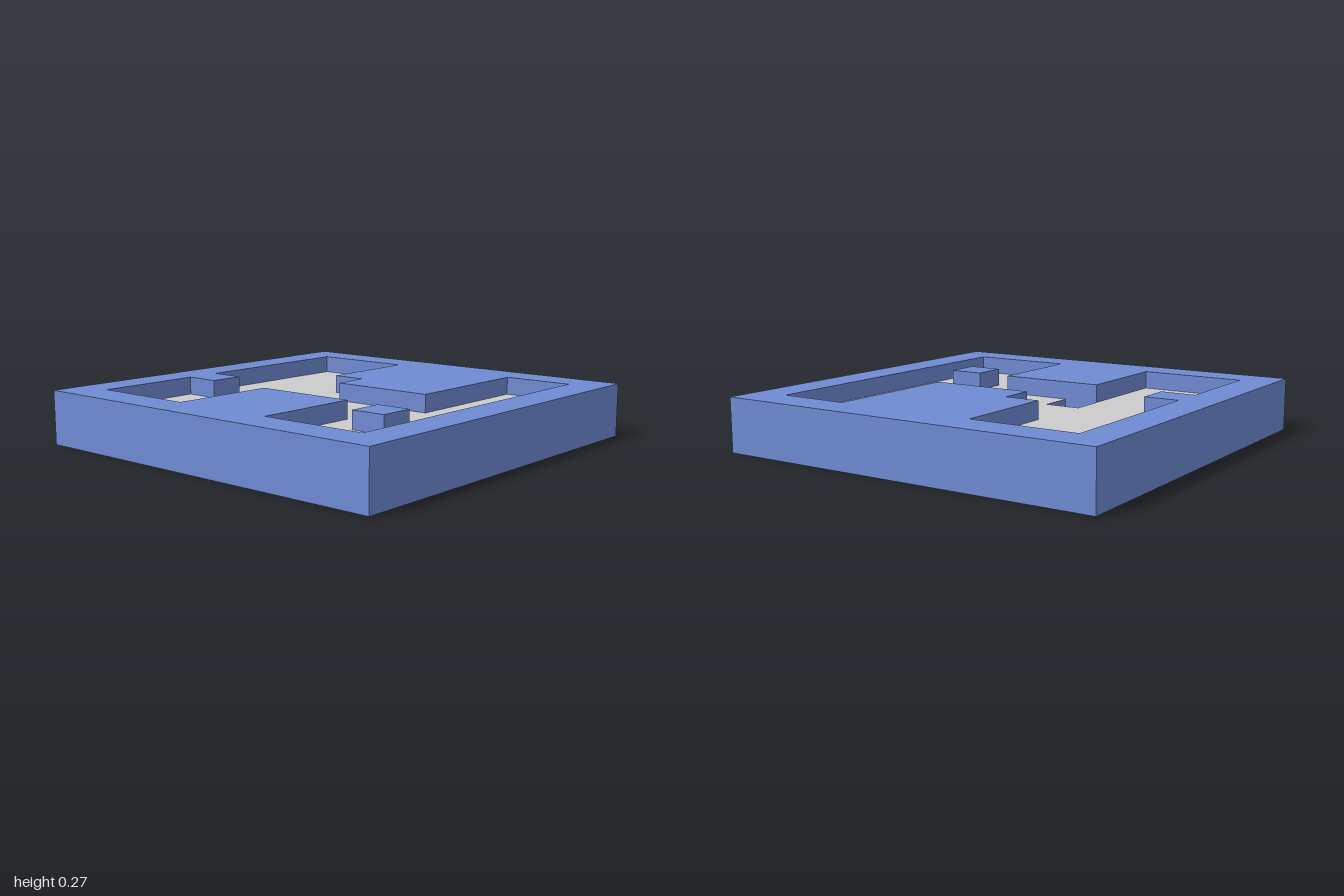
import * as THREE from 'three';
import { mergeGeometries } from 'three/addons/utils/BufferGeometryUtils.js';

// The plan is an 11 x 11 cell grid; every height is a multiple of half a cell
const CELL = 2 / 11;
const PIT = CELL * 0.5, FLOOR = CELL, TOP = CELL * 1.5;

// Grid coordinates [column, row] to world [x, z]
const world = ([c, r]) => [c * CELL - 1, r * CELL - 1];
const rect = (c0, r0, c1, r1) => [[c0, r0], [c1, r0], [c1, r1], [c0, r1]];

// Horizontal face with optional holes
function flat(outline, y, holes = [], down = false) {
  const toPoints = (cells) => cells.map((p) => {
    const [x, z] = world(p);
    return new THREE.Vector2(x, down ? z : -z);
  });
  const shape = new THREE.Shape(toPoints(outline));
  shape.holes = holes.map((h) => new THREE.Path(toPoints(h)));
  const g = new THREE.ShapeGeometry(shape).toNonIndexed();
  return g.rotateX(down ? Math.PI / 2 : -Math.PI / 2).translate(0, y, 0);
}

// Closed vertical ribbon, facing away from the outline or into it
function walls(outline, y0, y1, inward = false) {
  const pts = (inward ? [...outline].reverse() : outline).map(world);
  const pos = [], uv = [];
  pts.forEach(([ax, az], i) => {
    const [bx, bz] = pts[(i + 1) % pts.length];
    pos.push(ax, y0, az, ax, y1, az, bx, y1, bz);
    pos.push(ax, y0, az, bx, y1, bz, bx, y0, bz);
    uv.push(0, 0, 0, 1, 1, 1, 0, 0, 1, 1, 1, 0);
  });
  const g = new THREE.BufferGeometry();
  g.setAttribute('position', new THREE.Float32BufferAttribute(pos, 3));
  g.setAttribute('uv', new THREE.Float32BufferAttribute(uv, 2));
  g.computeVertexNormals();
  return g;
}

export function createModel() {
  const group = new THREE.Group();
  const blue = new THREE.MeshStandardMaterial({ color: 0x6f8bd3 });
  const grey = new THREE.MeshStandardMaterial({ color: 0xcccccc });
  const add = (name, material, ...geometries) => {
    const mesh = new THREE.Mesh(mergeGeometries(geometries), material);
    mesh.name = name;
    group.add(mesh);
  };

  const plate = rect(0, 0, 11, 11);
  const island = rect(8, 7, 9, 8);
  const pit = rect(4, 6, 5, 7);
  const start = [[1, 1], [4, 1], [4, 4], [5, 4], [5, 5], [8, 5], [8, 1], [10, 1], [10, 10], [7, 10], [7, 7]];
  const end = [[4, 10], [1, 10], [1, 7], [2, 7], [2, 6], [1, 6]];
  const recess = [...start, [4, 7], ...end];
  // The floor follows the recess but leaves out the pit
  const floorOutline = [...start, [5, 7], [5, 6], [4, 6], ...end];

  // Solid plate: raised top, outer sides and underside
  add('plate', blue,
    flat(plate, TOP, [recess]),
    walls(plate, 0, TOP),
    flat(plate, 0, [], true));

  // Sides of the sunken area
  add('recessWalls', blue, walls(recess, FLOOR, TOP, true));

  // Sunken floor
  add('recessFloor', grey, flat(floorOutline, FLOOR, [island]));

  // Free-standing block on the floor
  add('islandBlock', blue, flat(island, TOP), walls(island, FLOOR, TOP));

  // One-cell pit below the floor
  add('pit', blue, flat(pit, PIT), walls(pit, PIT, FLOOR, true));

  return group;
}
